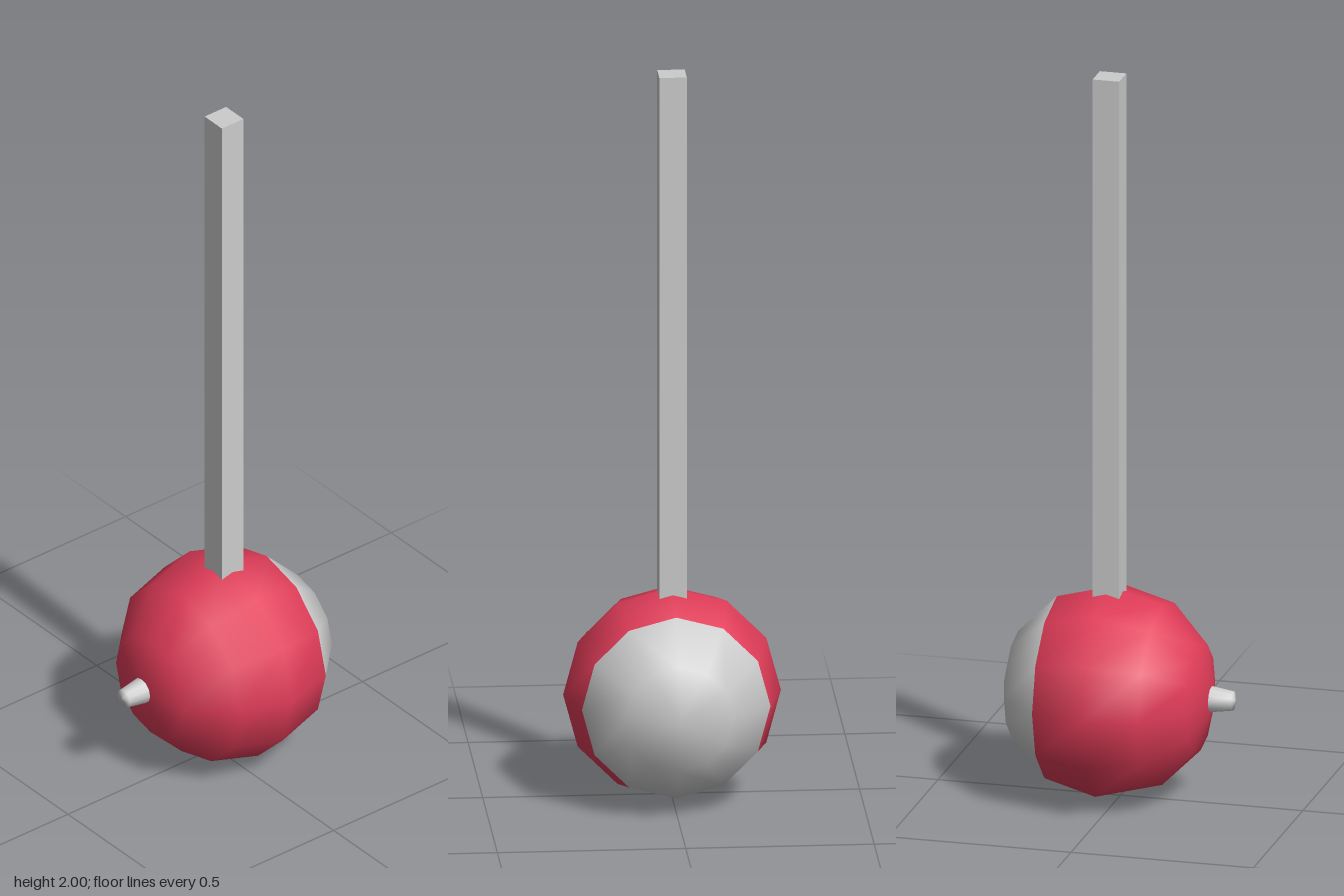
import * as THREE from 'three';

const SIDES = 12;
const RADIUS = 0.289;
const CENTRE = new THREE.Vector3(0, 0.289, -0.03);

export function createModel() {
  const model = new THREE.Group();
  model.name = 'ballOnPost';
  const grey = new THREE.MeshStandardMaterial({ color: 0xcccccc });
  const red = new THREE.MeshStandardMaterial({ color: 0xe03c58 });

  const add = (name, geometry, material) => {
    const mesh = new THREE.Mesh(geometry, material);
    mesh.name = name;
    mesh.position.copy(CENTRE);
    model.add(mesh);
    return mesh;
  };

  // Band of a ball whose poles point forward and backward
  const ballPart = (start, rows) =>
    new THREE.SphereGeometry(RADIUS, SIDES, rows, 0, Math.PI * 2, start * Math.PI / 6, rows * Math.PI / 6)
      .rotateX(Math.PI / 2);
  add('ballFront', ballPart(0, 4), red);
  add('ballBackCap', ballPart(4, 2), grey);

  // Tapered nozzle with a shallow domed tip
  const profile = [[0.037, 0.27], [0.026, 0.34], [0, 0.346]].map(([r, h]) => new THREE.Vector2(r, h));
  add('nozzle', new THREE.LatheGeometry(profile, SIDES).rotateX(Math.PI / 2), grey);

  // Square post rising from the top of the ball
  const bottom = 0.54;
  const post = add('post', new THREE.BoxGeometry(0.073, 2 - bottom, 0.073), grey);
  post.position.y = (2 + bottom) / 2;

  return model;
}
